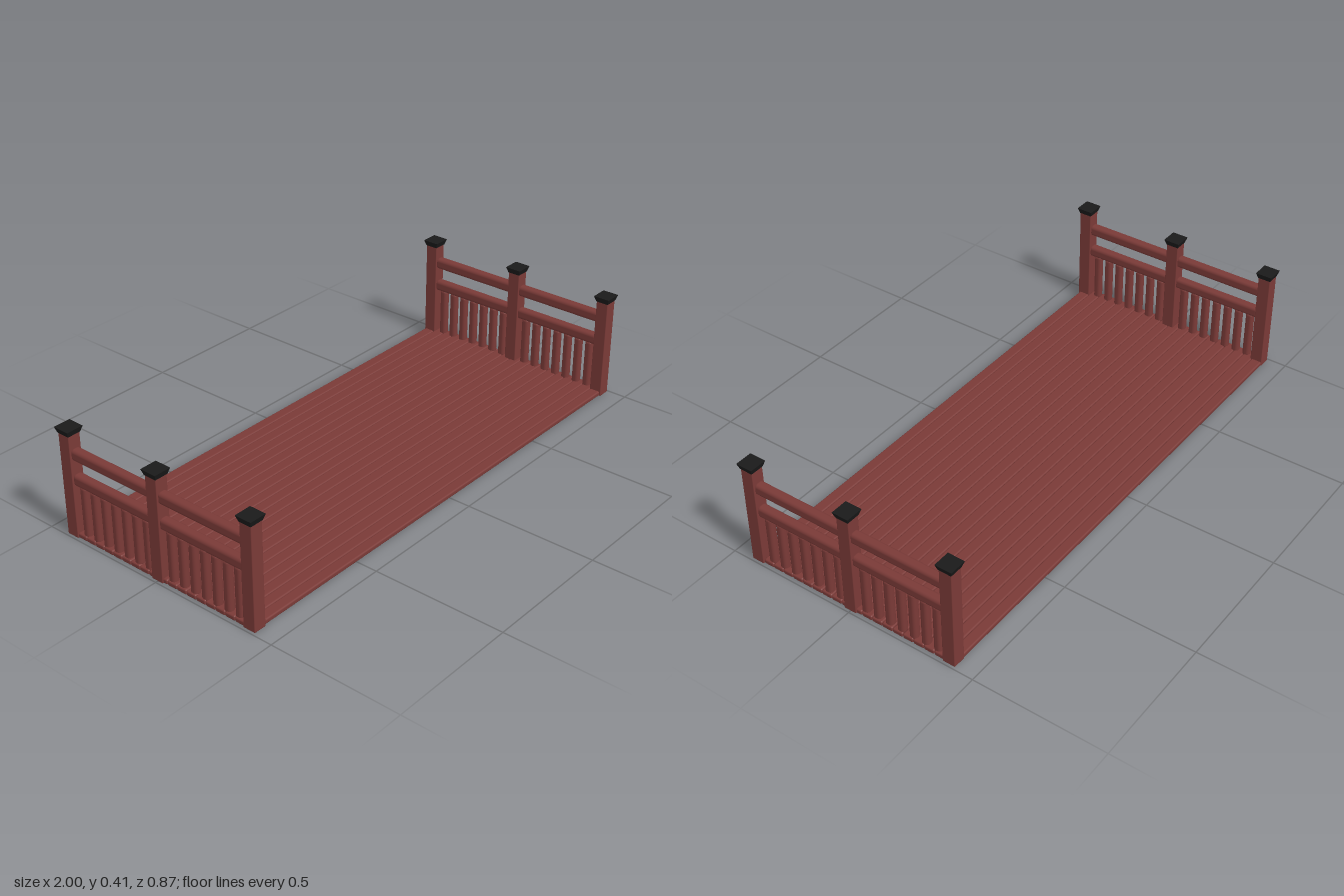
import * as THREE from 'three';
import { RoundedBoxGeometry } from 'three/addons/geometries/RoundedBoxGeometry.js';

const wood = new THREE.MeshStandardMaterial({ color: 0x7a3a37 });
const black = new THREE.MeshStandardMaterial({ color: 0x1a1a1a });

// Softly rounded timber, placed by its centre
function timber(parent, name, size, position, radius) {
  const mesh = new THREE.Mesh(new RoundedBoxGeometry(...size, 3, radius), wood);
  mesh.name = name;
  mesh.position.set(...position);
  parent.add(mesh);
}

// Post cap: square block flaring outwards to the top
function capGeometry() {
  const g = new THREE.BoxGeometry(0.066, 0.022, 0.064);
  const p = g.attributes.position;
  for (let i = 0; i < p.count; i++) {
    if (p.getY(i) < 0) {
      p.setX(i, p.getX(i) * 0.78);
      p.setZ(i, p.getZ(i) * 0.78);
    }
  }
  g.computeVertexNormals();
  return g;
}

function createRailing(side) {
  const railing = new THREE.Group();
  railing.name = side > 0 ? 'leftRailing' : 'rightRailing';
  const x = side * 0.967;

  // Posts and caps
  const capGeo = capGeometry();
  for (const z of [-0.401, 0, 0.401]) {
    timber(railing, 'post', [0.049, 0.392, 0.049], [x, 0.197, z], 0.003);
    const cap = new THREE.Mesh(capGeo, black);
    cap.name = 'postCap';
    cap.position.set(x, 0.401, z);
    railing.add(cap);
  }

  for (const half of [-1, 1]) {
    // Two rails between each pair of posts
    for (const y of [0.223, 0.319]) {
      timber(railing, 'rail', [0.037, 0.043, 0.37], [x, y, half * 0.2], 0.013);
    }
    // Seven balusters under the lower rail
    for (let i = 0; i < 7; i++) {
      const z = half * 0.2 + (i - 3) * 0.0487;
      timber(railing, 'baluster', [0.03, 0.2, 0.03], [x, 0.108, z], 0.012);
    }
  }
  return railing;
}

export function createModel() {
  const model = new THREE.Group();
  model.name = 'deck';

  // Deck boards running along x
  const floor = new THREE.Group();
  floor.name = 'floor';
  const pitch = 0.0422;
  for (let i = 0; i < 20; i++) {
    timber(floor, 'board', [1.974, 0.019, pitch - 0.0005], [0, 0.0095, -0.002 + (i - 9.5) * pitch], 0.006);
  }
  model.add(floor);

  model.add(createRailing(1), createRailing(-1));
  return model;
}
